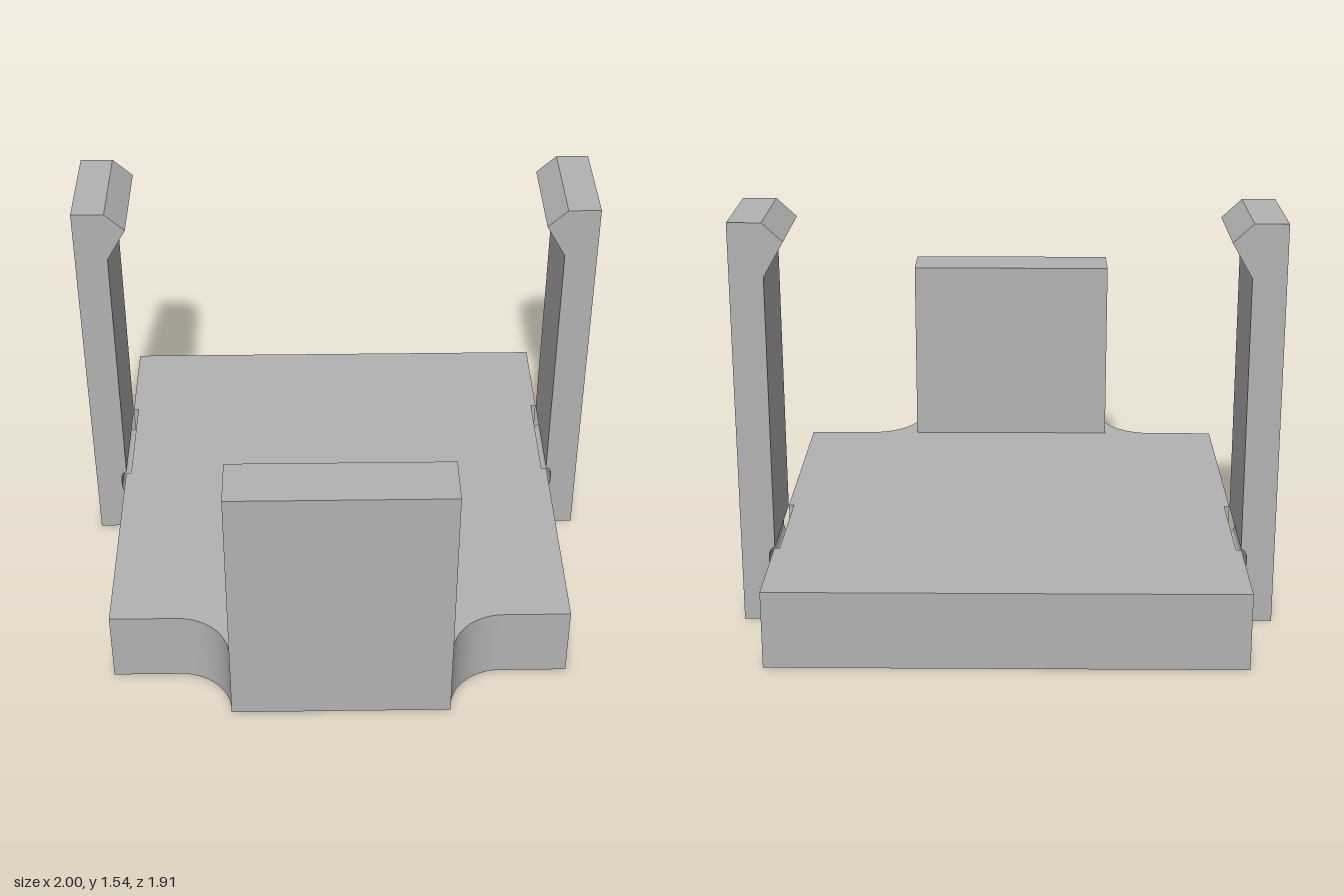
import * as THREE from 'three';
import { toCreasedNormals } from 'three/addons/utils/BufferGeometryUtils.js';

const grey = new THREE.MeshStandardMaterial({ color: 0xb2b2b2 });
grey.name = 'grey';

const BASE_H = 0.295, POCKET_Y = 0.19;
const SIDE = 0.875, POCKET_X = 0.855;
const ARM_BACK = -0.545, ARM_FRONT = -0.13;
const POCKET_BACK = -0.555, POCKET_FRONT = -0.12;

function add(group, name, geometry) {
  const mesh = new THREE.Mesh(geometry, grey);
  mesh.name = name;
  group.add(mesh);
  return mesh;
}

function extrude(shape, depth) {
  const g = new THREE.ExtrudeGeometry(shape, { depth, bevelEnabled: false, curveSegments: 20 });
  return toCreasedNormals(g, 0.5);
}

// Plate outline drawn in (x, -z), with concave front corners and side pockets
function baseShape() {
  const s = new THREE.Shape();
  s.moveTo(-SIDE, 0.955);
  s.lineTo(-SIDE, -POCKET_BACK);
  s.lineTo(-POCKET_X, -POCKET_BACK);
  s.lineTo(-POCKET_X, -POCKET_FRONT);
  s.lineTo(-SIDE, -POCKET_FRONT);
  s.lineTo(-SIDE, -0.75);
  s.lineTo(-0.62, -0.75);
  s.absarc(-0.62, -0.955, 0.205, Math.PI / 2, 0, true);
  s.lineTo(0.415, -0.955);
  s.absarc(0.62, -0.955, 0.205, Math.PI, Math.PI / 2, true);
  s.lineTo(SIDE, -0.75);
  s.lineTo(SIDE, -POCKET_FRONT);
  s.lineTo(POCKET_X, -POCKET_FRONT);
  s.lineTo(POCKET_X, -POCKET_BACK);
  s.lineTo(SIDE, -POCKET_BACK);
  s.lineTo(SIDE, 0.955);
  s.closePath();
  return s;
}

// Arm profile with a rounded relief at the root and a hook at the tip
function armShape(side) {
  const s = new THREE.Shape();
  s.moveTo(side * 1, 0);
  s.lineTo(side * 1, 1.54);
  s.lineTo(side * SIDE, 1.54);
  s.lineTo(side * 0.8, 1.47);
  s.lineTo(side * SIDE, 1.34);
  s.lineTo(side * SIDE, BASE_H);
  s.quadraticCurveTo(side * 0.897, 0.285, side * 0.897, 0.255);
  s.lineTo(side * 0.897, 0.225);
  s.quadraticCurveTo(side * 0.897, POCKET_Y, side * SIDE, POCKET_Y);
  s.lineTo(side * SIDE, 0);
  s.closePath();
  return s;
}

export function createModel() {
  const model = new THREE.Group();
  model.name = 'clipBracket';

  const base = extrude(baseShape(), BASE_H);
  base.rotateX(-Math.PI / 2);
  add(model, 'basePlate', base);

  // Upright plate at the front
  add(model, 'frontPlate', new THREE.BoxGeometry(0.83, 1.045 - BASE_H, 0.205))
    .position.set(0, (1.045 + BASE_H) / 2, 0.8525);

  for (const side of [1, -1]) {
    const label = side > 0 ? 'left' : 'right';
    const arm = extrude(armShape(side), ARM_FRONT - ARM_BACK);
    add(model, label + 'ClipArm', arm).position.z = ARM_BACK;

    // Floor of the shallow pocket beside the arm
    add(model, label + 'PocketFloor',
      new THREE.BoxGeometry(SIDE - POCKET_X, POCKET_Y, POCKET_FRONT - POCKET_BACK))
      .position.set(side * (SIDE + POCKET_X) / 2, POCKET_Y / 2, (POCKET_FRONT + POCKET_BACK) / 2);
  }
  return model;
}
